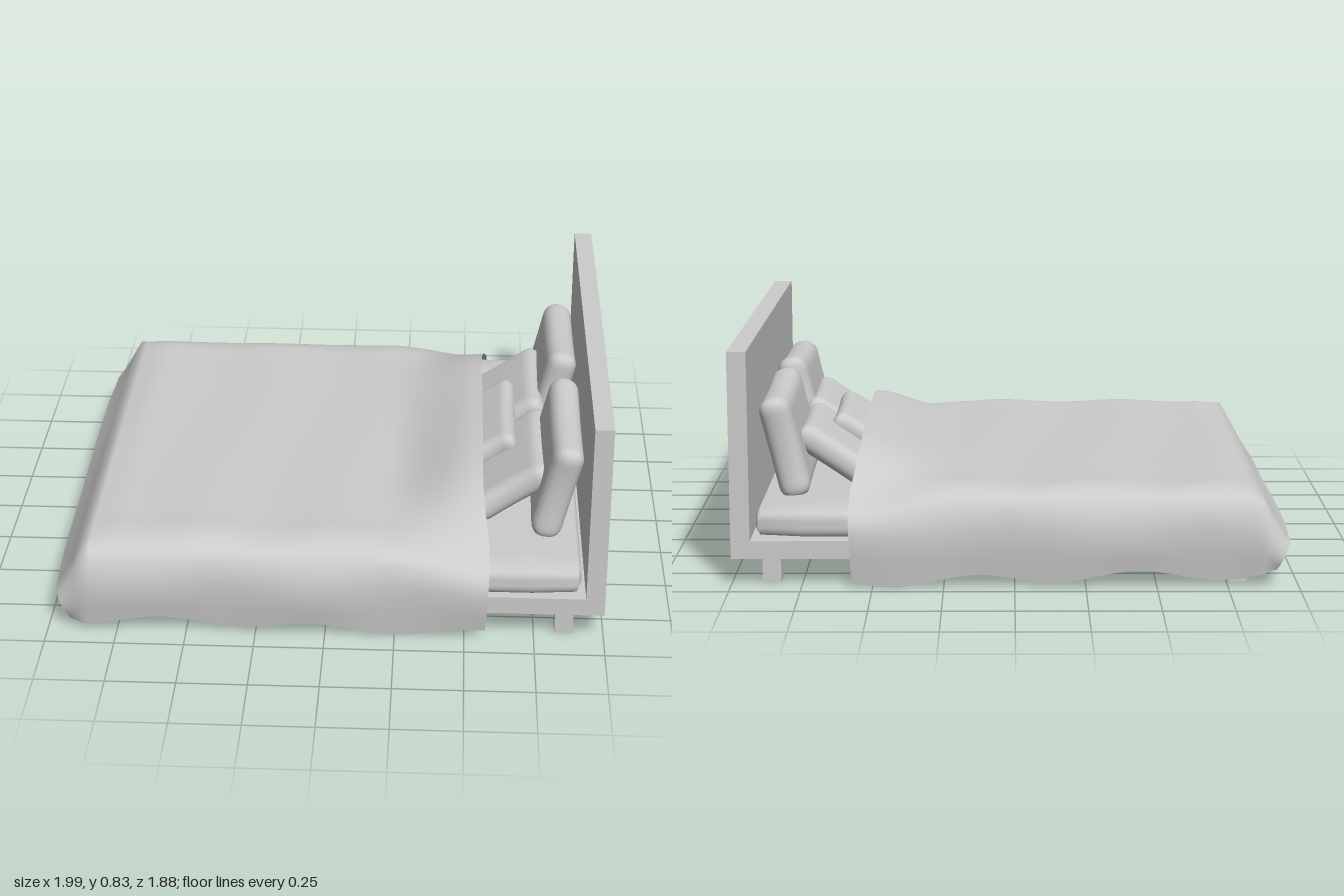
import * as THREE from 'three';
import { mergeVertices } from 'three/addons/utils/BufferGeometryUtils.js';

const grey = new THREE.MeshStandardMaterial({ color: 0xcccccc });
const cloth = new THREE.MeshStandardMaterial({ color: 0xcccccc, side: THREE.DoubleSide });
const { clamp, smoothstep, lerp } = THREE.MathUtils;
const midZ = -0.014;

function add(parent, name, geometry, x, y, z, material = grey) {
  const mesh = new THREE.Mesh(geometry, material);
  mesh.name = name;
  mesh.position.set(x, y, z);
  parent.add(mesh);
  return mesh;
}

// Box given by its limits
function slab(parent, name, x0, x1, y0, y1, z0, z1) {
  return add(parent, name, new THREE.BoxGeometry(x1 - x0, y1 - y0, z1 - z0),
    (x0 + x1) / 2, (y0 + y1) / 2, (z0 + z1) / 2);
}

// Smooth rounded cushion; pinch draws the middle of each edge inwards
function cushion(w, h, d, r, pinch = 0) {
  let geo = new THREE.BoxGeometry(w, h, d, 10, 20, 28);
  geo.deleteAttribute('normal');
  geo.deleteAttribute('uv');
  geo = mergeVertices(geo, 1e-4);
  const pos = geo.attributes.position;
  const p = new THREE.Vector3(), q = new THREE.Vector3();
  for (let i = 0; i < pos.count; i++) {
    p.fromBufferAttribute(pos, i);
    q.set(clamp(p.x, r - w / 2, w / 2 - r), clamp(p.y, r - h / 2, h / 2 - r), clamp(p.z, r - d / 2, d / 2 - r));
    p.sub(q).setLength(r).add(q);
    const a = p.y / (h / 2), b = p.z / (d / 2);
    p.y *= 1 - pinch * (1 - b * b);
    p.z *= 1 - pinch * (1 - a * a);
    pos.setXYZ(i, p.x, p.y, p.z);
  }
  geo.computeVertexNormals();
  return geo;
}

// Cross-section of the blanket at x, draped over both sides of the bed
function blanketSection(x) {
  const foot = clamp((-0.87 - x) / 0.11, 0, 1);
  const head = smoothstep(x, 0.2, 0.56);
  const points = [];
  for (const side of [1, -1]) {
    const hem = 0.045 + 0.018 * Math.sin(x * 11 + side + 1) - 0.022 * smoothstep(x, -0.5, 0.4);
    const top = 0.347 + 0.006 * Math.sin(x * 13 + side) - 0.02 * smoothstep(-x, 0.75, 0.87);
    const sag = 0.045 * head;
    const wave = 0.008 * Math.sin(x * 9 + side * 2);
    const half = [
      [0.917 + wave, hem], [0.932 + wave, 0.16], [0.924 + wave / 2, 0.25 - sag / 2],
      [0.89, 0.315 - sag], [0.8, top - sag / 2], [0.66, top + 0.05 * head],
      [0.5, top + 0.095 * head], [0.27, top + 0.11 * head]
    ].map(([z, y]) => {
      const low = clamp((top - y) / (top - hem), 0, 1);
      const edge = smoothstep(z, 0.55, 0.9);
      return new THREE.Vector3(
        x + foot * (0.05 * low + 0.012 * edge) + head * (0.03 * edge - 0.015 * low),
        hem + (y - hem) * (1 - 0.63 * foot),
        midZ + side * z * (1 - 0.02 * foot));
    });
    points.push(...(side > 0 ? half : half.reverse()));
  }
  return new THREE.CatmullRomCurve3(points).getPoints(60);
}

function blanketGeometry() {
  const xs = [-0.985, -0.95, -0.91, -0.87, -0.845];
  for (let i = 0; i <= 36; i++) xs.push(lerp(-0.81, 0.56, i / 36));
  const rows = xs.map(blanketSection), n = rows[0].length, index = [];
  for (let i = 0; i < rows.length - 1; i++) {
    for (let j = 0; j < n - 1; j++) {
      const a = i * n + j, b = a + n;
      index.push(a, b, a + 1, b, b + 1, a + 1);
    }
  }
  const geo = new THREE.BufferGeometry().setFromPoints(rows.flat());
  geo.setIndex(index);
  geo.computeVertexNormals();
  return geo;
}

export function createModel() {
  const bed = new THREE.Group();
  bed.name = 'bed';

  // Frame, headboard and legs
  slab(bed, 'headboard', 0.932, 1, 0.1, 0.84, -0.912, 0.884);
  slab(bed, 'bedBase', -0.865, 0.932, 0.1, 0.165, -0.912, 0.884);
  for (const x of [-0.82, 0.825])
    for (const z of [-0.885, 0.79]) slab(bed, 'leg', x, x + 0.066, 0.01, 0.1, z, z + 0.066);

  // Mattress and blanket
  add(bed, 'mattress', cushion(1.775, 0.115, 1.79, 0.045), 0.028, 0.2225, midZ);
  add(bed, 'blanket', blanketGeometry(), 0, 0, 0, cloth);

  // Pillows: upright pair at the back, reclining pair, small one in front
  const pillow = (name, x, y, z, h, d, t, tilt, turn = 0) => {
    const mesh = add(bed, name, cushion(t, h, d, t * 0.46, 0.05), x, y, z);
    mesh.rotation.set(turn, 0, -tilt);
  };
  pillow('backPillow', 0.828, 0.455, 0.342, 0.385, 0.62, 0.115, 0.24, 0.04);
  pillow('backPillow', 0.828, 0.455, -0.398, 0.385, 0.6, 0.115, 0.24, -0.04);
  pillow('middlePillow', 0.665, 0.385, 0.272, 0.33, 0.54, 0.1, 0.98);
  pillow('middlePillow', 0.655, 0.385, -0.287, 0.33, 0.53, 0.1, 0.98);
  pillow('smallPillow', 0.595, 0.418, 0, 0.2, 0.54, 0.085, 1.05);

  return bed;
}
